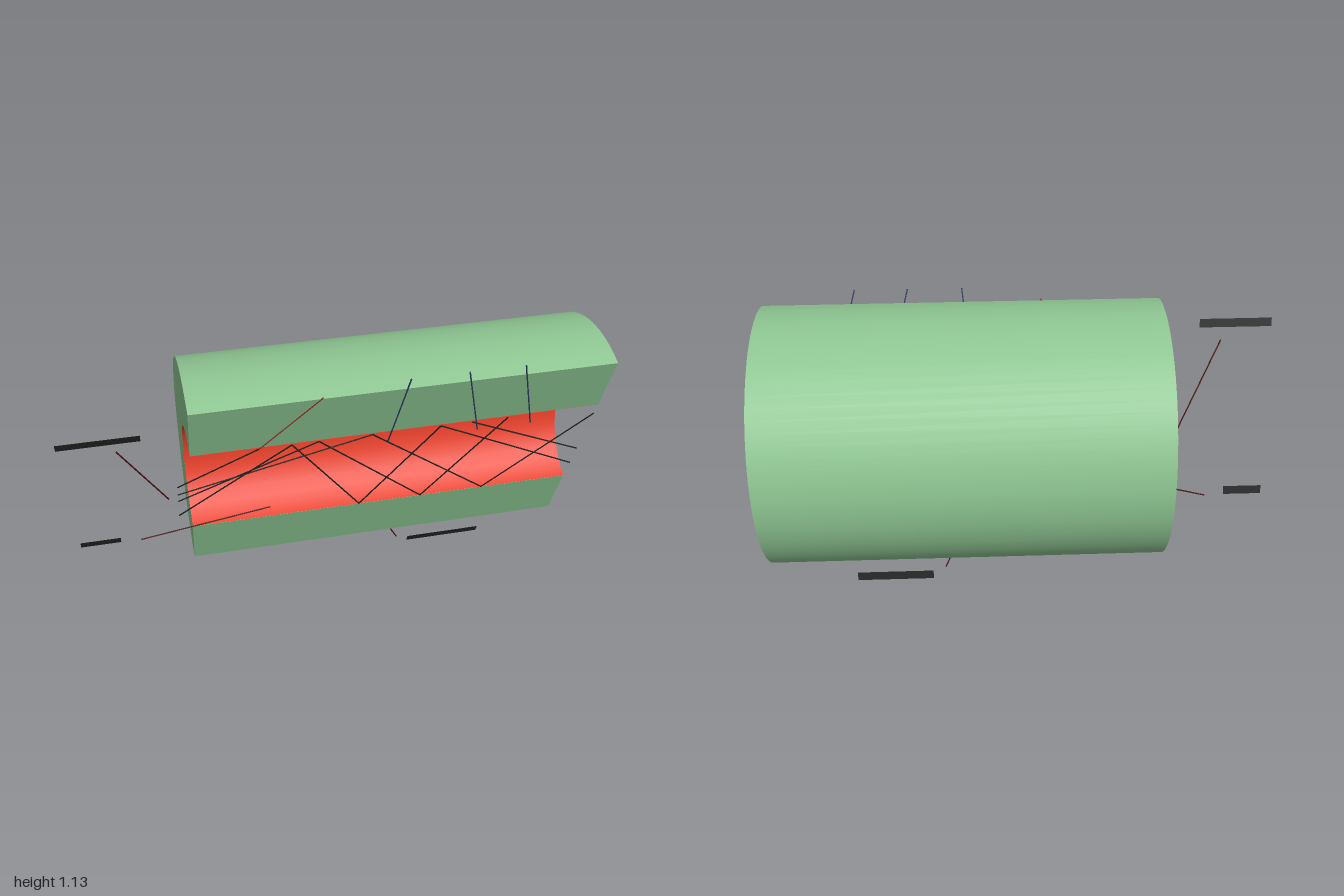
import * as THREE from 'three';
import { toCreasedNormals } from 'three/addons/utils/BufferGeometryUtils.js';

const OUTER = 0.514, INNER = 0.257, X0 = -0.55, X1 = 0.995, TILT = 0.368, AXIS_Y = 0.6;
const mat = (color, side = THREE.FrontSide) => new THREE.MeshStandardMaterial({ color, side });

export function createModel() {
  const model = new THREE.Group();
  // Everything is built with the cut plane at local z = 0, then tilted about the tube axis
  const fibre = new THREE.Group();
  fibre.name = 'fibreSection';
  fibre.position.set(0, AXIS_Y, 0.155);
  fibre.rotation.x = TILT;
  model.add(fibre);

  const add = (name, geometry, material, parent = fibre) => {
    const mesh = new THREE.Mesh(geometry, material);
    mesh.name = name;
    parent.add(mesh);
    return mesh;
  };
  // Point on the cut plane from its x and its height above the ground
  const onCut = (x, y) => new THREE.Vector3(x, (y - AXIS_Y) / Math.cos(TILT), 0);

  // Cladding: half ring extruded along x
  const ring = new THREE.Shape();
  ring.absarc(0, 0, OUTER, -Math.PI / 2, Math.PI / 2, false);
  ring.absarc(0, 0, INNER, Math.PI / 2, -Math.PI / 2, true);
  const cladding = new THREE.ExtrudeGeometry(ring, { depth: X1 - X0, bevelEnabled: false, curveSegments: 18 });
  cladding.rotateY(Math.PI / 2).translate(X0, 0, 0);
  add('cladding', toCreasedNormals(cladding, 0.4), mat(0x8fc793));

  // Core: red lining of the bore
  const core = new THREE.CylinderGeometry(INNER - 0.001, INNER - 0.001, X1 - X0, 18, 1, true, Math.PI / 2, Math.PI);
  core.rotateZ(Math.PI / 2).translate((X0 + X1) / 2, 0, 0);
  add('core', core, mat(0xe8402a, THREE.DoubleSide));

  // Thin rods following straight segments on the cut plane
  const dark = mat(0x222222), red = mat(0xa03028), blue = mat(0x34406a);
  const up = new THREE.Vector3(0, 1, 0);
  const line = (name, material, points) => {
    const group = new THREE.Group();
    group.name = name;
    fibre.add(group);
    for (let i = 1; i < points.length; i++) {
      const a = onCut(...points[i - 1]), b = onCut(...points[i]);
      const dir = b.clone().sub(a);
      const rod = add('segment', new THREE.CylinderGeometry(0.0028, 0.0028, dir.length(), 6), material, group);
      rod.position.copy(a).add(b).multiplyScalar(0.5);
      rod.quaternion.setFromUnitVectors(up, dir.normalize());
    }
  };

  // Light rays bouncing inside the core
  line('lightRay', dark, [[-0.6, 0.65], [-0.3, 0.83]]);
  line('lightRay', dark, [[-0.6, 0.455], [-0.18, 0.83], [0.12, 0.362], [0.38, 0.83], [0.995, 0.455]]);
  line('lightRay', dark, [[-0.6, 0.555], [-0.08, 0.83], [0.375, 0.362], [0.64, 0.83]]);
  line('lightRay', dark, [[-0.6, 0.6], [0.12, 0.83], [0.635, 0.362], [0.995, 0.785]]);
  line('lightRay', dark, [[0.5, 0.83], [0.995, 0.555]]);

  // Rays escaping through the cladding
  line('escapingRay', red, [[-0.3, 0.83], [-0.085, 1.085]]);
  for (const [from, to] of [[0.185, 0.22], [0.53, 0.43], [0.74, 0.635]])
    line('escapingRay', blue, [[from, 0.78], [to, 1.13]]);

  // Leader lines and blank label strips
  const leader = mat(0x4a1512), strip = mat(0x222222, THREE.DoubleSide);
  line('rayLeader', leader, [[-0.8, 0.92], [-0.635, 0.58]]);
  line('coreLeader', leader, [[-0.755, 0.315], [-0.245, 0.428]]);
  line('claddingLeader', leader, [[0.285, 0.118], [0.32, 0.048]]);
  for (const [name, x, y, w] of [['rayLabel', -0.857, 0.983, 0.286], ['coreLabel', -0.91, 0.333, 0.155],
    ['claddingLabel', 0.53, 0.017, 0.315]])
    add(name, new THREE.PlaneGeometry(w, 0.034), strip).position.copy(onCut(x, y));

  return model;
}
